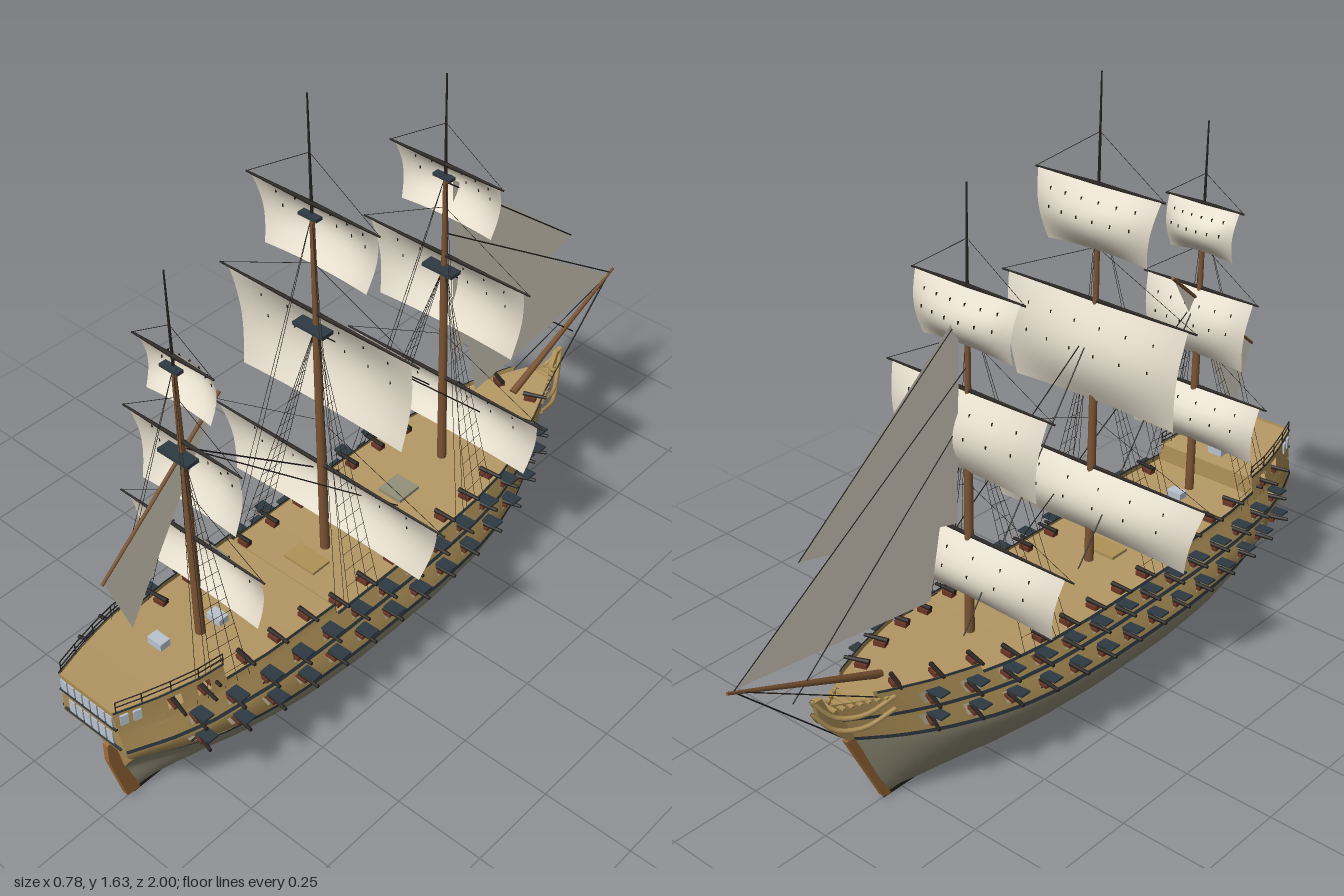
import * as THREE from 'three';
import { mergeGeometries } from 'three/addons/utils/BufferGeometryUtils.js';

const mat = (name, color) => new THREE.MeshStandardMaterial({ name, color, side: THREE.DoubleSide });
const M = {
  timber: mat('planking timber', 0xb09258), deck: mat('deck planks', 0xb59865), bottom: mat('underbody grey', 0x949079),
  slate: mat('slate trim', 0x2e3a42), black: mat('tarred black', 0x26221f), mast: mat('mast brown', 0x7b5433),
  oak: mat('rudder oak', 0xa06c3a), sail: mat('canvas', 0xe3dbca), glass: mat('window glass', 0xb9c4d0), red: mat('carriage red', 0x6a3626),
};
const V = (x, y, z) => new THREE.Vector3(x, y, z);
const clamp = THREE.MathUtils.clamp, lerp = THREE.MathUtils.lerp;

// Linear lookup in a small [key, value] table
function look(t, k) {
  for (let i = 1; i < t.length; i++) if (k <= t[i][0]) {
    const [a, b] = [t[i - 1], t[i]];
    return lerp(a[1], b[1], clamp((k - a[0]) / (b[0] - a[0]), 0, 1));
  }
  return t[t.length - 1][1];
}

// Hull lines: lev is the height amidships, p runs from bow (0) to stern (1)
const BOW = [[0.01, -0.56], [0.23, -0.66], [0.34, -0.72], [0.4, -0.74]];
const STERN = [[0.01, 0.9], [0.2, 0.945], [0.25, 0.985], [0.41, 1]];
const UPPER = [[0, 0.02], [0.035, 0.21], [0.07, 0.38], [0.13, 0.61], [0.19, 0.78], [0.25, 0.9], [0.32, 0.97], [0.42, 1],
  [0.65, 1], [0.77, 0.97], [0.88, 0.86], [0.94, 0.72], [1, 0.52]];
const LOWER = [[0, 0.02], [0.05, 0.3], [0.1, 0.5], [0.2, 0.78], [0.3, 0.93], [0.42, 1], [0.6, 1], [0.72, 0.92],
  [0.82, 0.75], [0.9, 0.48], [0.96, 0.2], [1, 0.03]];
function hull(p, lev, side = 1) {
  const z = lerp(look(BOW, lev), look(STERN, lev), p);
  const a = clamp((0.2 - lev) / 0.19, 0, 1);
  const w = lev < 0.2 ? 0.225 * Math.pow(1 - Math.pow(a, 1.6), 0.55) + 0.002 : look([[0.21, 0.225], [0.34, 0.182], [0.42, 0.168]], lev);
  const f = lerp(look(LOWER, p), look(UPPER, p), clamp((lev - 0.1) / 0.15, 0, 1));
  const y = lev + 0.03 * clamp(lev / 0.2, 0, 1) * ((z - 0.15) / 0.85) ** 2;
  return V(side * w * f, y, z);
}
const pAt = (z, lev) => clamp((z - look(BOW, lev)) / (look(STERN, lev) - look(BOW, lev)), 0, 1);
const atZ = (z, lev, side) => hull(pAt(z, lev), lev, side);

// Surface from a rule fn(u, v) -> Vector3, leaving out the cells where skip(i, j) is true
function grid(fn, nu, nv, skip = () => false) {
  const pos = [], idx = [];
  for (let i = 0; i <= nu; i++) for (let j = 0; j <= nv; j++) pos.push(...fn(i / nu, j / nv).toArray());
  for (let i = 0; i < nu; i++) for (let j = 0; j < nv; j++) {
    const a = i * (nv + 1) + j, b = a + nv + 1;
    if (!skip(i, j)) idx.push(a, b, a + 1, b, b + 1, a + 1);
  }
  const g = new THREE.BufferGeometry();
  g.setAttribute('position', new THREE.Float32BufferAttribute(pos, 3));
  g.setIndex(idx);
  g.computeVertexNormals();
  return g;
}
// Tapered round bar between two points
function bar(a, b, r0, r1 = r0, sides = 6) {
  const d = b.clone().sub(a), g = new THREE.CylinderGeometry(r1, r0, d.length(), sides);
  g.applyQuaternion(new THREE.Quaternion().setFromUnitVectors(V(0, 1, 0), d.normalize()));
  return g.translate(...a.clone().add(b).multiplyScalar(0.5).toArray());
}
const box = (w, h, d, x = 0, y = 0, z = 0) => new THREE.BoxGeometry(w, h, d).translate(x, y, z);
// Flat profile in the z-y plane with a thickness across x
function slab(pts, t) {
  const s = new THREE.Shape(pts.map(([z, y]) => new THREE.Vector2(-z, y)));
  return new THREE.ExtrudeGeometry(s, { depth: t, bevelEnabled: false }).translate(0, 0, -t / 2).rotateY(Math.PI / 2);
}

export function createModel() {
  const ship = new THREE.Group();
  ship.name = 'sailingShip';
  const add = (name, geo, m) => {
    const mesh = new THREE.Mesh(Array.isArray(geo) ? mergeGeometries(geo) : geo, m);
    mesh.name = name;
    ship.add(mesh);
  };

  // Hull planking, in bands of colour
  const band = (name, l0, l1, m, z0 = -2, z1 = 2, nv = 3, out = 0) => {
    const p0 = pAt(z0, l0), p1 = pAt(z1, l0);
    add(name, [1, -1].map(s => grid((u, v) => {
      const q = hull(lerp(p0, p1, u), lerp(l0, l1, v), s);
      q.x += s * out;
      return q;
    }, 48, nv)), m);
  };
  // Planking pierced by a row of open gun ports between levels levs[1] and levs[2]
  const HALF = 0.018;
  const portBand = (name, levs, ports, ends) => {
    const zs = [...ends, ...ports.flatMap(z => [z - HALF, z + HALF])].sort((a, b) => a - b), n = zs.length - 1;
    const open = (i, j) => j === 1 && ports.some(z => Math.abs((zs[i] + zs[i + 1]) / 2 - z) < HALF / 2);
    add(name, [1, -1].map(s => grid((u, v) => hull(pAt(zs[Math.round(u * n)], levs[1]), levs[Math.round(v * 3)], s), n, 3, open)), M.timber);
  };
  const portZ = Array.from({ length: 14 }, (_, i) => 0.815 - i * 0.1005), poopPortZ = [0.78, 0.855];
  const ends = [-2, -0.68, -0.65, -0.62, -0.58, -0.54, 0.87, 0.91, 0.95, 2];
  band('underbody', 0.01, 0.2, M.bottom, -2, 2, 12);
  portBand('lowerSide', [0.2, 0.222, 0.255, 0.27], portZ, ends);
  portBand('upperSide', [0.27, 0.286, 0.319, 0.33], portZ, ends);
  portBand('poopBulwark', [0.33, 0.351, 0.381, 0.402], poopPortZ, [0.72, 0.91, 0.95, 2]);
  band('lowerWale', 0.199, 0.21, M.slate, -2, 2, 1, 0.003);
  band('upperWale', 0.269, 0.279, M.slate, -2, 2, 1, 0.003);
  band('waistRail', 0.324, 0.332, M.slate, -0.36, 0.37, 1, 0.003);
  band('forecastleBulwark', 0.33, 0.352, M.timber, -0.62, -0.36);
  band('quarterdeckBulwark', 0.33, 0.358, M.timber, 0.37, 0.72);
  band('forecastleRail', 0.346, 0.353, M.slate, -0.62, -0.36, 1, 0.003);
  band('quarterdeckRail', 0.352, 0.36, M.slate, 0.37, 0.72, 1, 0.003);
  band('poopRailMoulding', 0.397, 0.403, M.slate, 0.72, 2, 1, 0.003);
  const across = (p, l0, l1) => grid((u, v) => hull(p, lerp(l0, l1, u), v * 2 - 1).setX(hull(p, lerp(l0, l1, u)).x * (v * 2 - 1)), 16, 4);
  add('transom', across(1, 0.01, 0.402), M.timber);

  // Decks and the bulkheads at their breaks
  const deck = (name, lev, z0, z1) => add(name, grid((u, v) => {
    const q = hull(lerp(pAt(z0, lev), pAt(z1, lev), u), lev);
    return q.setX(q.x * (v * 2 - 1));
  }, 36, 2), M.deck);
  deck('mainDeck', 0.321, -2, 2);
  deck('forecastleDeck', 0.338, -0.66, -0.36);
  deck('quarterdeck', 0.343, 0.37, 2);
  deck('poopDeck', 0.395, 0.72, 2);
  for (const [z, a, b] of [[-0.36, 0.321, 0.338], [0.37, 0.321, 0.343], [0.72, 0.343, 0.395]]) add('bulkhead', across(pAt(z, a), a, b), M.timber);
  add('hatchGrating', box(0.075, 0.012, 0.075, 0, 0.326, -0.07), M.bottom);
  add('mainHatch', box(0.1, 0.01, 0.06, 0, 0.325, 0.28), M.timber);
  add('skylight', [box(0.045, 0.02, 0.03, 0, 0.36, 0.59), box(0.045, 0.02, 0.03, 0, 0.423, 0.775)], M.glass);

  // Keel, rudder and stem
  add('keel', box(0.006, 0.01, 1.46, 0, 0.007, 0.17), M.black);
  add('rudder', slab([[0.885, 0.01], [0.925, 0.015], [0.965, 0.17], [0.965, 0.225], [0.94, 0.23], [0.92, 0.15]], 0.016), M.oak);
  add('stem', slab([[-0.54, 0.008], [-0.565, 0.01], [-0.675, 0.235], [-0.65, 0.235]], 0.016), M.oak);

  // Beakhead: knee, grating and sweeping head rails
  add('headKnee', slab([[-0.645, 0.21], [-0.71, 0.28], [-0.745, 0.33], [-0.765, 0.395], [-0.74, 0.395], [-0.72, 0.35], [-0.64, 0.31]], 0.014), M.timber);
  const slats = [], rails = [];
  for (let i = 0; i < 8; i++) slats.push(box(0.15 * (1 - i / 8.5), 0.005, 0.01, 0, 0.352, -0.6 - i * 0.019));
  for (const s of [1, -1]) for (const h of [0, 0.035]) rails.push(new THREE.TubeGeometry(new THREE.CatmullRomCurve3([
    V(s * 0.078, 0.35 - h, -0.58), V(s * 0.058, 0.33 - h, -0.66), V(s * 0.025, 0.34 - h, -0.72), V(0, 0.395 - h, -0.765)]), 12, 0.006, 6));
  add('headGrating', slats, M.timber);
  add('headRails', rails, M.timber);
  add('bowsprit', bar(V(0, 0.36, -0.55), V(0, 0.545, -0.997), 0.011, 0.004, 8), M.mast);

  // Stern windows, mouldings and quarter galleries
  const panes = [], mould = [];
  for (const [lev, n, h] of [[0.303, 6, 0.038], [0.37, 7, 0.032]]) {
    const q = hull(1, lev);
    for (let i = 0; i < n; i++) panes.push(box(0.02, h, 0.008, (i - (n - 1) / 2) * 0.0255, q.y, q.z));
    mould.push(box(0.19, 0.005, 0.01, 0, q.y - h / 2 - 0.008, q.z - 0.002));
  }
  add('sternWindows', panes, M.glass);
  add('sternMouldings', mould, M.slate);

  // Group set on the hull side, its +x pointing outboard (turned to the hull, or straight abeam)
  const mount = (name, z, lev, s, parts, inset = 0, turned = true) => {
    const t = atZ(z + 0.02, lev, 1).sub(atZ(z - 0.02, lev, 1)), th = turned ? Math.atan2(t.x, t.z) : 0;
    const g = new THREE.Group();
    g.name = name;
    for (const [geo, m] of parts) g.add(new THREE.Mesh(geo, m));
    g.position.copy(atZ(z, lev, s));
    g.position.x -= s * inset;
    g.rotation.y = s > 0 ? th : Math.PI - th;
    ship.add(g);
  };
  const barrel = new THREE.CylinderGeometry(0.0045, 0.0065, 0.065, 8).rotateZ(-Math.PI / 2);
  const portGun = [[barrel.clone().translate(0.014, -0.004, 0), M.black], [box(0.035, 0.009, 0.016, -0.01, -0.0135, 0), M.red]];
  const lid = [[box(0.048, 0.005, 0.032).rotateZ(0.04).translate(0.018, 0.02, 0), M.slate]];
  const gun = [[box(0.032, 0.012, 0.02, -0.006, 0.007, 0), M.red], [barrel.clone().translate(0.006, 0.018, 0), M.black]];
  const galleryPane = [[box(0.008, 0.03, 0.02), M.glass]];
  for (const s of [1, -1]) {
    portZ.forEach((z, i) => {
      for (const [name, lev] of [['upperGun', 0.3025], ['lowerGun', 0.2385]]) {
        mount(name, z, lev, s, portGun);
        mount(name + 'PortLid', z, lev, s, lid, 0, false);
      }
      if (i > 0) mount('deckGun', z + 0.03, z > 0.37 ? 0.343 : z < -0.38 ? 0.338 : 0.321, s, gun, 0.025);
    });
    mount('deckGun', -0.56, 0.338, s, gun, 0.025);
    for (const z of poopPortZ) mount('poopGun', z, 0.366, s, portGun);
    for (const z of [0.945, 0.975]) mount('galleryWindow', z, 0.372, s, galleryPane);
  }

  // Open railings along the poop
  const poop = [];
  const zs = [0.72, 0.79, 0.86, 0.93, 0.99];
  for (const s of [1, -1]) zs.forEach((z, i) => {
    const a = atZ(z, 0.4, s), up = V(0, 0.03, 0);
    poop.push(bar(a, a.clone().add(up), 0.0016));
    if (i) for (const k of [0.5, 1]) poop.push(bar(atZ(zs[i - 1], 0.4, s).addScaledVector(up, k), a.clone().addScaledVector(up, k), 0.0016));
  });
  add('poopRailing', poop, M.black);

  // Masts; each sail is [yard height, foot height, yard half length, sail half width at head, at foot]
  const masts = [
    { name: 'mizzen', z: 0.647, top: 1.41, base: 0.34, sails: [[0.67, 0.5, 0.235, 0.215, 0.2], [0.955, 0.757, 0.187, 0.172, 0.15], [1.19, 1.05, 0.125, 0.112, 0.1]] },
    { name: 'main', z: 0.213, top: 1.635, base: 0.31, sails: [[0.6, 0.405, 0.39, 0.365, 0.31], [1.06, 0.783, 0.31, 0.285, 0.255], [1.36, 1.185, 0.2, 0.19, 0.155]] },
    { name: 'fore', z: -0.245, top: 1.49, base: 0.31, sails: [[0.6, 0.42, 0.33, 0.305, 0.27], [0.985, 0.765, 0.265, 0.245, 0.215], [1.245, 1.09, 0.175, 0.162, 0.14]] },
  ];
  const ropes = [], R = 0.0008;
  for (const m of masts) {
    const at = (y, dz = 0, x = 0) => V(x, y, m.z + 0.015 * (y - 0.33) + dz);
    const [, t, g] = m.sails, yTop = t[0] - 0.035, yTg = g[0] - 0.03;
    add(m.name + 'LowerMast', bar(at(m.base), at(yTop), 0.013, 0.01, 10), M.mast);
    add(m.name + 'Topmast', bar(at(yTop), at(yTg), 0.008, 0.006, 8), M.mast);
    add(m.name + 'Pole', bar(at(yTg), at(m.top), 0.004, 0.002, 6), M.black);
    add(m.name + 'Tops', [box(0.095, 0.01, 0.036).translate(...at(yTop, 0.012).toArray()),
      box(0.055, 0.008, 0.02).translate(...at(yTg, 0.006).toArray())], M.slate);
    for (const [yT, yB, half, wT, wB] of m.sails) {
      add(m.name + 'Yard', [1, -1].map(s => bar(at(yT), at(yT, 0, s * half), 0.006, 0.0025)), M.black);
      const cloth = (u, v) => {
        const k = u * 2 - 1;
        return at(lerp(yT, yB + 0.008 * (1 - k * k), v), -0.002 - (0.018 + 0.034 * (1 - k * k)) * Math.sin(Math.PI * v), k * lerp(wT, wB, v));
      };
      add(m.name + 'Sail', grid(cloth, 14, 10), M.sail);
      const reefs = [];
      for (const v of [0.2, 0.45]) for (let i = 1; i < 7; i++) reefs.push(box(0.0018, 0.008, 0.005).translate(...cloth(i / 7, v).toArray()));
      add(m.name + 'ReefPoints', reefs, M.black);
      // Lifts from the yard ends
      for (const s of [1, -1]) ropes.push(bar(at(yT, 0, s * half), at(yT + Math.min(0.14, half * 0.65)), R, R, 4));
    }
    // Shrouds with ratlines, and backstays
    for (const s of [1, -1]) {
      const feet = [0, 1, 2, 3].map(i => atZ(m.z + 0.01 + i * 0.035, 0.33, s)), head = at(yTop);
      for (const f of feet) ropes.push(bar(f, head, R, R, 4));
      for (let k = 0.06; k < 0.85; k += 0.06) ropes.push(bar(feet[0].clone().lerp(head, k), feet[3].clone().lerp(head, k), 0.0006, 0.0006, 3));
      for (const dz of [0.13, 0.16]) ropes.push(bar(atZ(m.z + dz, 0.33, s), at(yTg), R, R, 4));
    }
  }

  // Stays between the masts and bowsprit rigging
  const stay = (z0, y0, z1, y1, x = 0) => ropes.push(bar(V(0, y0, z0), V(x, y1, z1), 0.0018, 0.0018, 4));
  for (const s of [1, -1]) {
    stay(0.65, 0.93, 0.05, 0.41, s * 0.1);
    stay(0.22, 1.0, -0.37, 0.42, s * 0.1);
    stay(-0.97, 0.535, -0.62, 0.36, s * 0.06);
  }
  stay(-0.24, 0.93, -0.82, 0.42);
  stay(-0.24, 1.19, -0.775, 0.77);
  stay(-0.24, 1.045, -0.98, 0.54);
  stay(-0.98, 0.54, -0.66, 0.23);
  add('rigging', ropes, M.black);

  // Fore-and-aft sails
  const tri = (name, x, ...p) => add(name, grid((u, v) => {
    const [a, b, c] = p.map(([z, y]) => V(x, y, z));
    return a.lerp(b.lerp(c, v), u);
  }, 1, 1), M.sail);
  tri('outerJib', 0, [-0.26, 1.19], [-0.775, 0.77], [-0.28, 0.65]);
  tri('innerJib', 0.003, [-0.26, 1.03], [-0.965, 0.54], [-0.375, 0.475]);
  tri('lateenSail', 0, [0.54, 1.015], [0.91, 0.71], [0.845, 0.52]);
  add('lateenYard', bar(V(0, 1.02, 0.535), V(0, 0.705, 0.915), 0.005, 0.004), M.mast);
  return ship;
}
